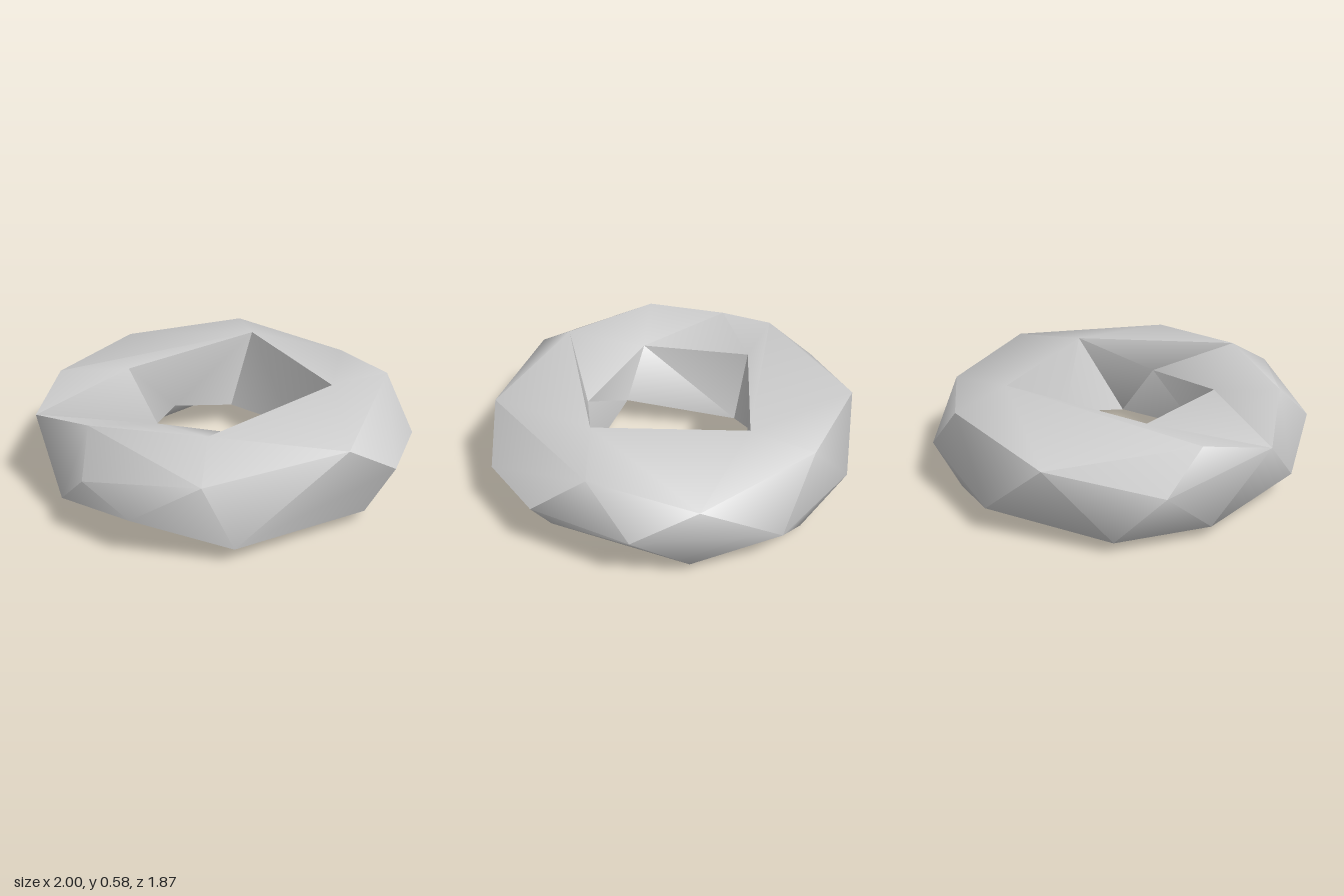
import * as THREE from 'three';
import { toCreasedNormals } from 'three/addons/utils/BufferGeometryUtils.js';

// Distance between two points
const gap = (p, q) => Math.hypot(p[0] - q[0], p[1] - q[1], p[2] - q[2]);

// Zips two closed loops together with triangles, always taking the shorter diagonal
function bridge(a, b, out) {
  const at = (loop, i) => loop[i % loop.length];
  let i = 0, j = 0;
  while (i < a.length || j < b.length) {
    const p = at(a, i), q = at(b, j), nextP = at(a, i + 1), nextQ = at(b, j + 1);
    const stepA = j >= b.length || (i < a.length && gap(nextP, q) <= gap(p, nextQ));
    const third = stepA ? nextP : nextQ;
    // Loops may share a point, which leaves a triangle without area
    if (gap(p, q) > 0 && gap(p, third) > 0 && gap(q, third) > 0) out.push(...p, ...third, ...q);
    if (stepA) i++;
    else j++;
  }
}

export function createModel() {
  const grey = new THREE.MeshStandardMaterial({ color: 0xcccccc });
  grey.name = 'pale grey';

  // Loops around the lumpy ring, from the shoulder down the outside and up to the inner rim
  const frontCorner = [-0.47, 0.44, 0.90];
  const shoulder = [
    [0.85, 0.51, 0.27], [0.26, 0.49, 0.93], frontCorner, [-0.83, 0.55, 0.33], [-1, 0.44, -0.09],
    [-0.76, 0.35, -0.66], [-0.24, 0.45, -0.92], [0.42, 0.51, -0.77], [0.87, 0.42, -0.28],
  ];
  const outerEdge = [
    [1, 0.29, 0.03], [0.85, 0.29, 0.56], [0.57, 0.29, 0.86], [-0.32, 0.09, 0.93], frontCorner,
    [-0.92, 0.36, 0.51], [-0.97, 0.13, 0.25], [-0.83, 0.07, -0.35], [-0.52, 0.07, -0.74],
    [0.10, 0.15, -0.94], [0.71, 0.21, -0.66],
  ];
  const base = [
    [0.85, 0.07, -0.23], [0.64, 0.02, 0.54], [0.42, 0.07, 0.84], [-0.76, 0.23, 0.72],
    [-0.58, 0, -0.48], [0.45, 0.06, -0.73],
  ];
  const innerWall = [
    [0.38, 0.19, 0.08], [0.25, 0.08, 0.49], [-0.33, 0.17, 0.365],
    [-0.41, 0.07, -0.26], [-0.15, 0.20, -0.37], [0.21, 0.13, -0.39],
  ];
  const innerRim = [
    [0.47, 0.54, 0.35], [0.04, 0.39, 0.49], [-0.47, 0.47, 0.29], [-0.43, 0.505, -0.32], [0.36, 0.553, -0.44],
  ];
  // The crest follows the rim but swings outward at the front and back, leaving narrow slits
  const crest = [
    innerRim[0], [-0.36, 0.58, 0.70], innerRim[2], innerRim[3], [-0.79, 0.52, -0.40], innerRim[4],
  ];

  const loops = [shoulder, outerEdge, base, innerWall, innerRim, crest];
  const points = [];
  loops.forEach((loop, i) => bridge(loop, loops[(i + 1) % loops.length], points));

  const geometry = new THREE.BufferGeometry();
  geometry.setAttribute('position', new THREE.Float32BufferAttribute(points, 3));
  const ring = new THREE.Mesh(toCreasedNormals(geometry, 1.1), grey);
  ring.name = 'facetedRing';

  const group = new THREE.Group();
  group.name = 'ring';
  group.add(ring);
  return group;
}
